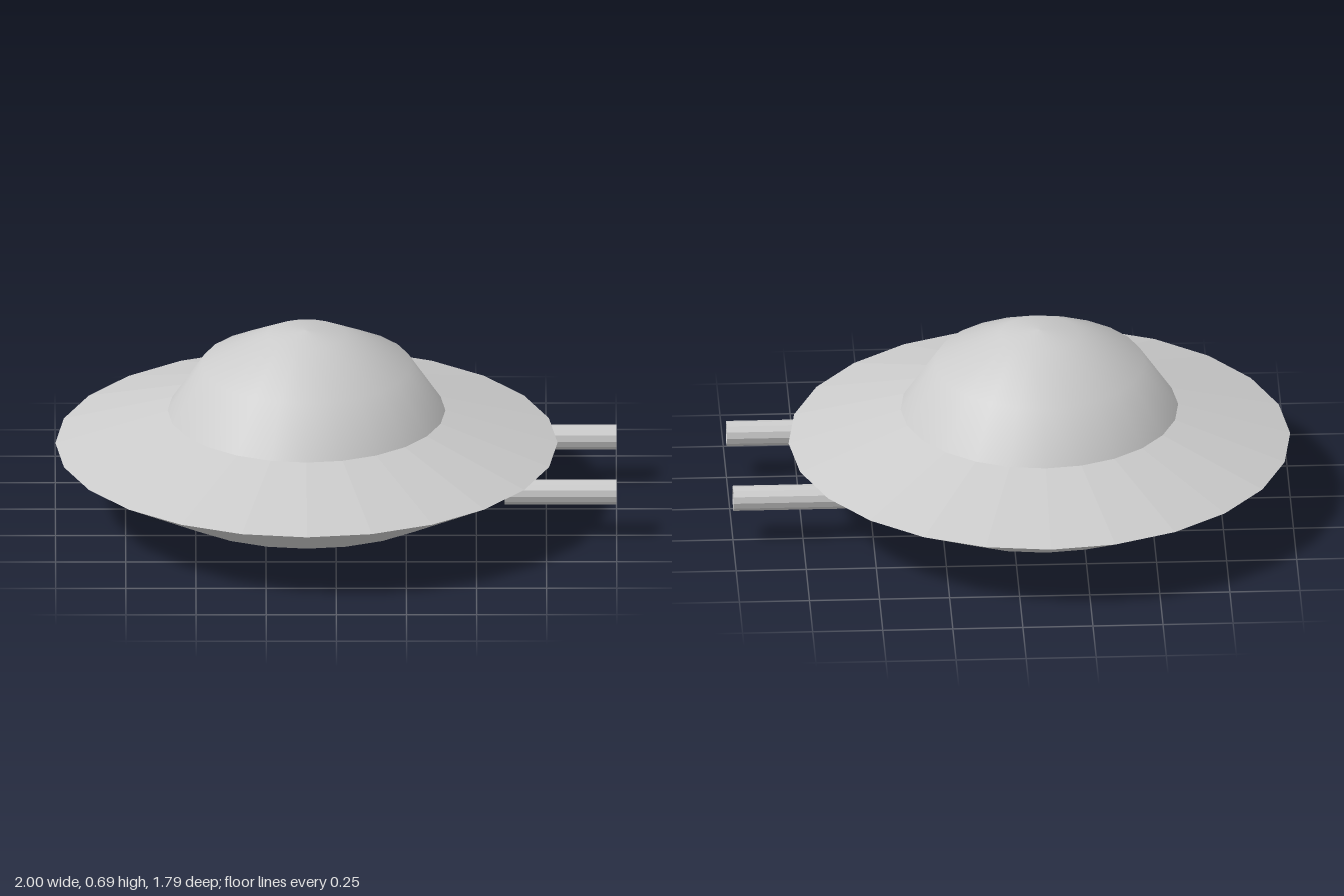
import * as THREE from 'three';

const SIDES = 24;
const CENTRE_X = -0.105;

// Surface of revolution from [radius, height] pairs, listed bottom to top
function lathe(name, profile, sides, flatShading) {
  const points = profile.map(([r, y]) => new THREE.Vector2(r, y));
  const material = new THREE.MeshStandardMaterial({
    color: 0xcccccc, flatShading, side: THREE.DoubleSide,
  });
  const mesh = new THREE.Mesh(new THREE.LatheGeometry(points, sides), material);
  mesh.name = name;
  return mesh;
}

export function createModel() {
  const model = new THREE.Group();
  model.name = 'flyingSaucer';

  // Saucer body: shallow belly, flared underside, sloping upper deck, domed canopy
  const body = new THREE.Group();
  body.name = 'body';
  body.position.x = CENTRE_X;
  body.add(
    lathe('belly', [[0, 0.005], [0.2, 0.015], [0.54, 0.072]], SIDES, true),
    lathe('underside', [[0.54, 0.072], [0.895, 0.26]], SIDES, true),
    lathe('upperDeck', [[0.895, 0.26], [0.495, 0.385]], SIDES, true),
    lathe('dome', [[0.495, 0.385], [0.375, 0.563], [0.14, 0.678], [0, 0.692]], SIDES, false),
  );
  model.add(body);

  // Pair of hollow barrels pointing along +x, half sunk in the underside
  const half = 0.2, outer = 0.045, inner = 0.036;
  const tube = [[inner, -half], [outer, -half], [outer, half], [inner, half], [inner, -half]];
  for (const side of [1, -1]) {
    const barrel = lathe(side > 0 ? 'frontBarrel' : 'backBarrel', tube, 12, true);
    barrel.rotation.z = -Math.PI / 2;
    barrel.position.set(0.8, 0.175, side * 0.26);
    model.add(barrel);
  }

  return model;
}
